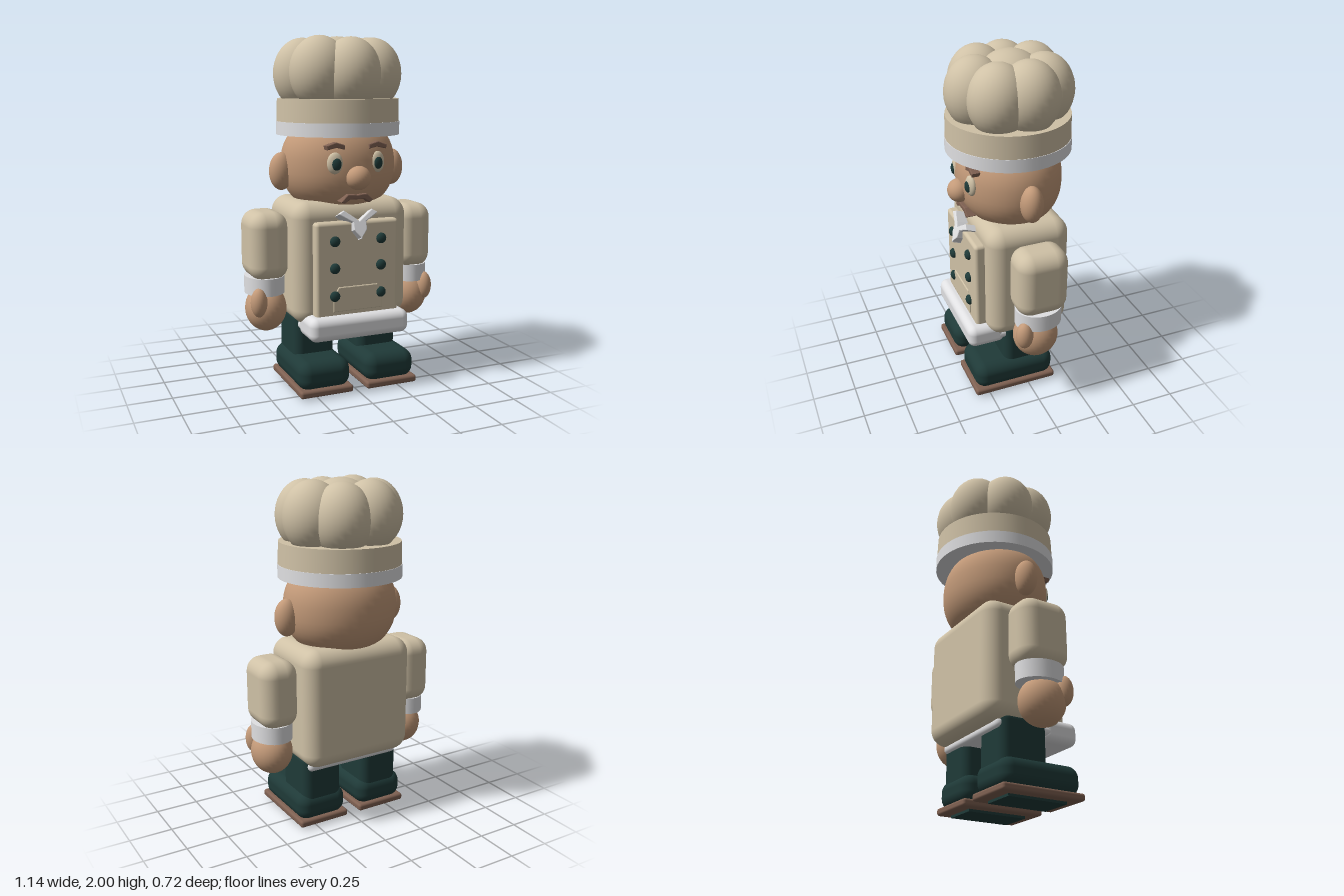
import * as THREE from 'three';
import { RoundedBoxGeometry } from 'three/addons/geometries/RoundedBoxGeometry.js';

const mat = (name, color) => {
  const m = new THREE.MeshStandardMaterial({ color });
  m.name = name;
  return m;
};

export function createModel() {
  const cream = mat('cream cloth', 0xcfc1a6);
  const white = mat('white trim', 0xe0e0e2);
  const skin = mat('skin', 0xc39a79);
  const dark = mat('dark green', 0x1f3a38);
  const brown = mat('brown', 0x7f6152);

  const root = new THREE.Group();
  root.name = 'cook';

  const add = (name, geo, m, x, y, z, parent = root) => {
    const mesh = new THREE.Mesh(geo, m);
    mesh.name = name;
    mesh.position.set(x, y, z);
    parent.add(mesh);
    return mesh;
  };
  const ball = (rx, ry, rz, w = 28, h = 20) => new THREE.SphereGeometry(1, w, h).scale(rx, ry, rz);
  const block = (w, h, d, r) => new RoundedBoxGeometry(w, h, d, 4, r);
  // Flat shape from points, extruded towards +z
  const plate = (pts, depth) => new THREE.ExtrudeGeometry(
    new THREE.Shape(pts.map(p => new THREE.Vector2(...p))),
    { depth, bevelEnabled: true, bevelSize: 0.005, bevelThickness: 0.005, bevelSegments: 2 });

  // Head: slightly boxy ellipsoid
  const profile = [];
  for (let i = 0; i <= 28; i++) {
    const a = -Math.PI / 2 + Math.PI * i / 28;
    const c = Math.max(0, Math.cos(a)), s = Math.sin(a);
    profile.push(new THREE.Vector2(c ** 0.87, Math.sign(s) * Math.abs(s) ** 0.87));
  }
  add('head', new THREE.LatheGeometry(profile, 40).scale(0.335, 0.28, 0.298), skin, 0, 1.28, 0);
  add('nose', ball(0.07, 0.067, 0.065), skin, 0, 1.225, 0.297);
  add('mouth', plate([[-0.09, 1.095], [-0.075, 1.09], [-0.045, 1.11], [0.045, 1.11], [0.075, 1.09],
    [0.09, 1.1], [0.055, 1.13], [0.02, 1.128], [0, 1.124], [-0.02, 1.128], [-0.055, 1.13]], 0.06), brown, 0, 0, 0.222);

  for (const s of [1, -1]) {
    const side = s > 0 ? 'left' : 'right';
    add(side + 'Ear', ball(0.07, 0.107, 0.064), skin, s * 0.345, 1.247, 0);
    add(side + 'Eye', ball(0.045, 0.06, 0.024), cream, s * 0.127, 1.307, 0.268).rotation.y = s * 0.2;
    add(side + 'Pupil', ball(0.027, 0.034, 0.014), dark, s * 0.125, 1.303, 0.286).rotation.y = s * 0.2;
    const brow = [[0.075, 1.385], [0.12, 1.397], [0.172, 1.386], [0.176, 1.4], [0.125, 1.417], [0.078, 1.403]]
      .map(([x, y]) => [s * x, y]);
    add(side + 'Eyebrow', plate(s > 0 ? brow : brow.reverse(), 0.04), brown, 0, 0, 0.235);
  }

  // Hat: trim, band and a ring of puffs around a middle puff
  const hat = new THREE.Group();
  hat.name = 'hat';
  root.add(hat);
  add('hatTrim', new THREE.CylinderGeometry(0.355, 0.355, 0.075, 48), white, 0, 1.4875, 0, hat);
  add('hatBand', new THREE.CylinderGeometry(0.348, 0.352, 0.13, 48), cream, 0, 1.588, 0, hat);
  for (let i = 0; i < 7; i++) {
    const a = Math.PI / 2 + i * Math.PI * 2 / 7;
    const puff = add('hatPuff', ball(0.168, 0.2, 0.168), cream,
      0.202 * Math.cos(a), 1.79 + 0.008 * (i % 2), 0.19 * Math.sin(a), hat);
    puff.rotation.y = -a;
  }
  add('hatMiddlePuff', ball(0.2, 0.2, 0.2), cream, 0, 1.8, -0.01, hat);

  // Jacket: rounded block narrowing a little at top and bottom
  const body = new RoundedBoxGeometry(0.72, 0.7, 0.49, 6, 0.09);
  const p = body.attributes.position;
  for (let i = 0; i < p.count; i++) {
    const k = 1 - 0.06 * Math.abs(p.getY(i) / 0.35) ** 2;
    p.setX(i, p.getX(i) * k);
  }
  add('jacket', body, cream, 0, 0.74, -0.005);
  add('frontPanel', block(0.5, 0.545, 0.07, 0.02), cream, 0, 0.713, 0.261);
  add('pocket', plate([[-0.145, 0.485], [0.145, 0.485], [0.145, 0.56], [0.115, 0.615], [-0.115, 0.615], [-0.145, 0.56]], 0.006),
    cream, 0, 0, 0.292);

  // Apron roll at the front and its strip under the jacket
  add('apronRoll', block(0.6, 0.135, 0.225, 0.045), white, 0, 0.393, 0.243);
  add('apronStrip', block(0.6, 0.06, 0.36, 0.028), white, 0, 0.382, 0.015);

  for (const s of [1, -1]) {
    const side = s > 0 ? 'left' : 'right';
    for (const y of [0.88, 0.728, 0.57]) {
      add(side + 'Button', ball(0.03, 0.03, 0.022, 16, 12), dark, s * 0.14, y, 0.299);
    }
    // Collar wing, one half of the V
    const wing = [[0, 0.875], [0.035, 0.92], [0.035, 0.965], [0.11, 1.01], [0.085, 1.025], [0.03, 0.985], [0, 0.96]]
      .map(([x, y]) => [s * x, y - 0.92]);
    add(side + 'Collar', plate(s > 0 ? wing : wing.reverse(), 0.07), white, 0, 0.92, 0.262).rotation.x = -0.35;

    // Arm
    const arm = new THREE.Group();
    arm.name = side + 'Arm';
    root.add(arm);
    add('sleeve', block(0.225, 0.39, 0.3, 0.085), cream, s * 0.45, 0.835, -0.003, arm);
    add('cuff', new THREE.CylinderGeometry(1, 1, 0.1, 32).scale(0.113, 1, 0.135), white, s * 0.455, 0.61, 0, arm);
    add('hand', ball(0.118, 0.133, 0.13), skin, s * 0.452, 0.468, 0.013, arm);
    add('thumb', ball(0.047, 0.083, 0.05), skin, s * 0.52, 0.525, 0.107, arm);

    // Leg, shoe and sole
    const leg = new THREE.Group();
    leg.name = side + 'Leg';
    root.add(leg);
    add('trouserLeg', block(0.245, 0.32, 0.29, 0.05), dark, s * 0.197, 0.29, -0.003, leg);
    add('shoe', block(0.308, 0.165, 0.49, 0.065), dark, s * 0.2, 0.122, 0.085, leg);
    add('sole', block(0.316, 0.042, 0.505, 0.015), brown, s * 0.2, 0.035, 0.088, leg);
    add('tread', new THREE.BoxGeometry(0.2, 0.02, 0.36), dark, s * 0.2, 0.01, 0.08, leg);
  }
  return root;
}
